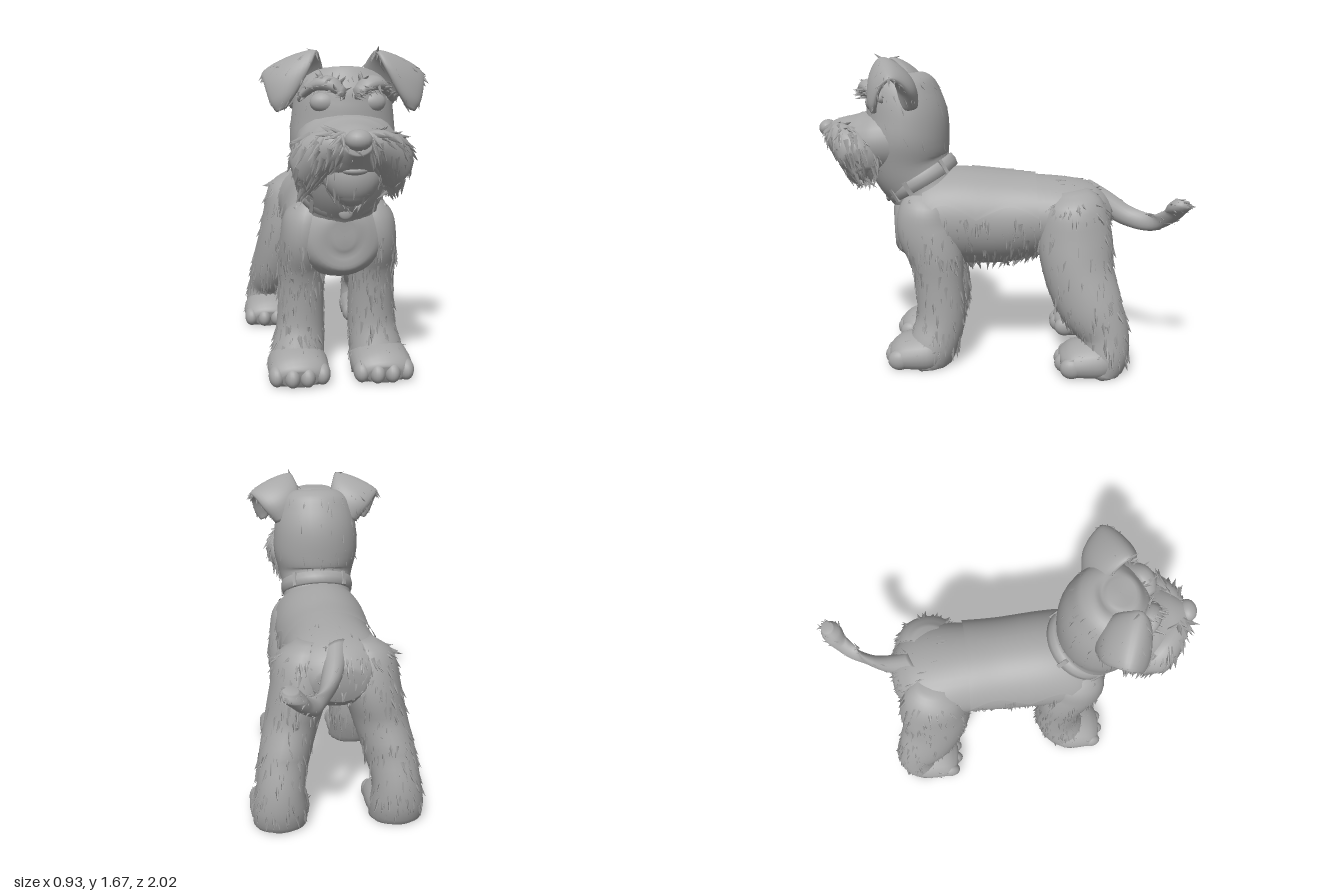
import * as THREE from 'three';
import { mergeGeometries } from 'three/addons/utils/BufferGeometryUtils.js';

const V = (x, y, z) => new THREE.Vector3(x, y, z);

// surface through sections [x, y, z, halfWidth, halfDepth]; u runs along, a runs around
function sweep(secs, U = [1, 0, 0], s = 1) {
  const path = new THREE.CatmullRomCurve3(secs.map(p => V(p[0] * s, p[1], p[2])), false, 'catmullrom');
  const size = new THREE.CatmullRomCurve3(secs.map(p => V(p[3], p[4], 0)), false, 'catmullrom');
  const side = V(U[0] * s, U[1], U[2]).normalize();
  return (u, a, grow = 0, k = 1) => {
    const c = path.getPoint(u), r = size.getPoint(u);
    const up = path.getTangent(u).cross(side).normalize();
    c.addScaledVector(side, Math.cos(a) * (r.x + grow) * k).addScaledVector(up, Math.sin(a) * (r.y + grow) * k);
    c.y = Math.max(c.y, 0);
    return c;
  };
}

function gridGeometry(rows, cols, wrap, at) {
  const pos = [], idx = [], n = wrap ? cols : cols + 1;
  for (let i = 0; i <= rows; i++) for (let j = 0; j < n; j++) pos.push(...at(i, j).toArray());
  for (let i = 0; i < rows; i++) for (let j = 0; j < cols; j++) {
    const a = i * n + j, b = i * n + (j + 1) % n;
    idx.push(a, b, a + n, b, b + n, a + n);
  }
  const g = new THREE.BufferGeometry();
  g.setAttribute('position', new THREE.Float32BufferAttribute(pos, 3));
  g.setIndex(idx);
  g.computeVertexNormals();
  return g;
}

// closed loft, both ends drawn in to a point
function loft(secs, U, s, rows = 30, cols = 28) {
  const f = sweep(secs, U, s);
  return gridGeometry(rows + 2, cols, true, (i, j) =>
    f(Math.min(Math.max((i - 1) / rows, 0), 1), j / cols * Math.PI * 2, 0, i === 0 || i === rows + 2 ? 0.01 : 1));
}

let seed = 7;
const rnd = () => (seed = (seed * 16807) % 2147483647) / 2147483647;

// small tapered locks scattered over a surface
function locks(geo, count, len, lift = 0.25, keep = () => true, flow = [0, -1, 0]) {
  const p = geo.attributes.position, nor = geo.attributes.normal, out = [], up = V(0, 1, 0);
  for (let t = 0; t < count * 6 && out.length < count; t++) {
    const k = Math.floor(rnd() * geo.index.count / 3) * 3, ids = [0, 1, 2].map(e => geo.index.getX(k + e));
    const w = rnd(), at = V(0, 0, 0).fromBufferAttribute(p, ids[0])
      .lerp(V(0, 0, 0).fromBufferAttribute(p, ids[1]), w).lerp(V(0, 0, 0).fromBufferAttribute(p, ids[2]), rnd() * 0.6);
    if (at.y < 0.08 || !keep(at)) continue;
    const n = V(0, 0, 0).fromBufferAttribute(nor, ids[0]);
    const d = V(...flow).addScaledVector(n, -n.dot(V(...flow))).addScaledVector(n, lift);
    d.add(V(rnd() - 0.5, rnd() - 0.5, rnd() - 0.5).multiplyScalar(0.3)).normalize();
    const l = len * (0.6 + rnd() * 0.7);
    const c = new THREE.ConeGeometry(l * 0.2, l, 4, 1, true).translate(0, l * 0.4, 0);
    c.applyQuaternion(new THREE.Quaternion().setFromUnitVectors(up, d));
    out.push(c.translate(at.x - n.x * 0.008, at.y - n.y * 0.008, at.z - n.z * 0.008));
  }
  return mergeGeometries(out);
}

export function createModel() {
  const root = new THREE.Group();
  const grey = new THREE.MeshStandardMaterial({ color: 0xa6a6a6, side: THREE.DoubleSide });
  grey.name = 'plain grey';
  const add = (name, geo) => {
    const m = new THREE.Mesh(geo, grey);
    m.name = name;
    root.add(m);
    return geo;
  };
  const ball = (name, x, y, z, a, b, c) =>
    add(name, new THREE.SphereGeometry(1, 20, 14).scale(a, b, c).translate(x, y, z));

  // torso
  const torso = [[0, .77, .59, .05, .06], [0, .77, .572, .14, .15], [0, .765, .51, .22, .21], [0, .77, .4, .26, .25],
    [0, .78, .25, .262, .262], [0, .772, 0, .255, .252], [0, .79, -.2, .255, .226], [0, .8, -.4, .265, .195],
    [0, .79, -.52, .22, .16], [0, .78, -.6, .12, .09]];
  const body = add('torso', loft(torso, [1, 0, 0], 1, 45, 36));
  add('bellyFur', locks(body, 380, .06, .2, p => p.y < .82 && p.z < .3 && p.z > -.22));
  add('rumpFur', locks(body, 200, .05, .18, p => p.z < -.28, [0, -.5, -1]));

  // jacket with scalloped lower edge, spine strap and handle
  const skin = sweep(torso);
  const patch = (u0, u1, edge, grow) => gridGeometry(30, 30, false, (i, j) => {
    const u = u0 + (u1 - u0) * i / 30, e = edge(i / 30);
    return skin(u, Math.PI + e + (Math.PI - 2 * e) * j / 30, grow);
  });
  add('jacket', patch(.33, .67, t => .12 + .28 * Math.abs(Math.sin(t * Math.PI * 2)), .012));
  add('spineStrap', patch(.42, .64, () => Math.PI / 2 - .22, .018));
  add('spineHandle', patch(.48, .61, () => Math.PI / 2 - .08, .024));

  // head and neck
  const head = add('head', loft([[0, 1.572, .56, .07, .06], [0, 1.555, .56, .14, .12], [0, 1.51, .55, .2, .175],
    [0, 1.43, .53, .23, .205], [0, 1.32, .512, .247, .225], [0, 1.2, .515, .25, .23], [0, 1.07, .5, .22, .215],
    [0, .95, .43, .2, .195], [0, .86, .38, .235, .2], [0, .78, .36, .25, .2]], [1, 0, 0], 1, 40, 32));
  add('headFur', locks(head, 240, .045, .15, p => p.y > 1.1 && p.y < 1.54 && p.z < .7, [0, -1, -.3]));

  // collar with tag and loops
  const turn = new THREE.Quaternion().setFromUnitVectors(V(0, 1, 0), V(0, .86, .51));
  const band = new THREE.LatheGeometry([[.19, -.038], [.21, -.034], [.216, 0], [.21, .034], [.19, .038]]
    .map(p => new THREE.Vector2(...p)), 40);
  add('collar', band.applyQuaternion(turn).translate(0, .995, .44));
  ball('collarTag', 0, .895, .628, .035, .035, .015);
  for (const a of [-1.3, -.8, .8, 1.3, 2.4, -2.4]) {
    add('collarLoop', new THREE.BoxGeometry(.022, .08, .014).translate(0, 0, .213).rotateY(a)
      .applyQuaternion(turn).translate(0, .995, .44));
  }

  // muzzle, nose, mouth and beard
  add('muzzle', loft([[0, 1.21, .56, .24, .2], [0, 1.2, .69, .24, .18], [0, 1.215, .79, .2, .145],
    [0, 1.24, .88, .13, .095], [0, 1.255, .945, .06, .05]], [1, 0, 0], 1));
  ball('nose', 0, 1.27, .95, .06, .046, .048);
  ball('lowerLip', 0, 1.13, .855, .065, .025, .045);
  const beard = add('beard', loft([[0, 1.16, .76, .15, .11], [0, 1.08, .785, .135, .1], [0, 1.01, .785, .095, .07],
    [0, .965, .775, .04, .03]], [1, 0, 0], 1));
  add('beardFur', locks(beard, 80, .06, .12));

  for (const s of [1, -1]) {
    // moustache and cheek
    const whisk = add('moustache', loft([[.025, 1.275, .915, .035, .04], [.08, 1.24, .875, .08, .07], [.155, 1.19, .8, .105, .095],
      [.205, 1.12, .735, .095, .1], [.215, 1.04, .71, .05, .06]], [.6, .55, .1], s));
    add('moustacheFur', locks(whisk, 220, .075, .14, () => true, [s * .3, -1, -.25]));

    // eye and brow
    ball('eye', s * .11, 1.415, .672, .065, .048, .045);
    const brow = add('brow', loft([[.025, 1.455, .735, .025, .03], [.075, 1.495, .72, .032, .045], [.14, 1.5, .685, .032, .045],
      [.21, 1.44, .61, .025, .03]], [0, 1, .3], s, 16, 14));
    add('browFur', locks(brow, 50, .05, .25, p => p.y > 1.43, [s * .5, -.1, .8]));

    // folded ear: slopes forward off the skull, turns over and hangs in front
    const ear = add('ear', loft([[.17, 1.41, .48, .08, .055], [.2, 1.505, .49, .12, .05], [.235, 1.57, .535, .135, .038],
      [.26, 1.59, .585, .14, .028], [.272, 1.53, .63, .115, .028], [.29, 1.44, .645, .07, .026], [.3, 1.38, .64, .025, .016]],
      [.9, -.38, -.32], s, 32, 24));
    add('earFur', locks(ear, 90, .045, .12, p => p.y > 1.4, [s * .4, -1, 0]));

    // chest strap running from shoulder to breastbone
    const line = new THREE.CatmullRomCurve3([[.22, .9, .47], [.19, .82, .525], [.11, .69, .55], [.03, .585, .515]]
      .map(p => V(p[0] * s, p[1], p[2])));
    add('chestStrap', new THREE.TubeGeometry(line, 20, .014, 8));

    // front leg
    const fore = add('frontLeg', loft([[.13, .94, .39, .06, .09], [.16, .86, .4, .11, .14], [.18, .74, .4, .115, .155],
      [.185, .6, .35, .12, .145], [.185, .45, .33, .118, .132], [.19, .25, .325, .125, .132], [.21, .1, .37, .14, .135],
      [.21, 0, .42, .14, .13]], [1, 0, 0], s));
    add('frontLegFur', locks(fore, 380, .06, .27, p => p.y < .75));

    // hind leg
    const hind = add('hindLeg', loft([[.13, .95, -.38, .07, .09], [.16, .87, -.39, .14, .165], [.185, .7, -.4, .155, .2],
      [.23, .52, -.42, .145, .185], [.275, .35, -.485, .135, .17], [.3, .22, -.555, .125, .13], [.305, .1, -.56, .14, .125],
      [.305, 0, -.53, .14, .11]], [1, 0, 0], s));
    add('hindLegFur', locks(hind, 380, .058, .27, p => p.y < .9 && Math.abs(p.x) > .1));

    // paws with four toes
    for (const [name, x, z] of [['frontPaw', .215, .435], ['hindPaw', .305, -.48]]) {
      const paw = add(name, loft([[x, .06, z - .14, .1, .08], [x, .07, z - .06, .15, .115], [x, .065, z + .06, .155, .105],
        [x, .055, z + .12, .14, .08], [x, .045, z + .15, .09, .05]], [1, 0, 0], s, 18, 24));
      add(name + 'Fur', locks(paw, 40, .04, .2, p => p.z < z + .1, [0, -.3, .7]));
      for (let i = 0; i < 4; i++) {
        const k = i - 1.5;
        ball(name + 'Toe', s * (x + k * .076), .056, z + .14 - Math.abs(k) * .025, .042, .056, .062);
      }
    }
  }

  // tail with rounded tip
  const tail = add('tail', loft([[.01, .92, -.46, .075, .075], [.03, .865, -.57, .066, .066], [.075, .8, -.69, .055, .055],
    [.15, .78, -.81, .048, .048], [.215, .83, -.895, .048, .048], [.26, .885, -.93, .058, .058],
    [.27, .925, -.945, .035, .035]], [.9, 0, -.4], 1, 36, 20));
  add('tailFur', locks(tail, 90, .045, .15, () => true, [.4, -.1, -.9]));
  return root;
}
